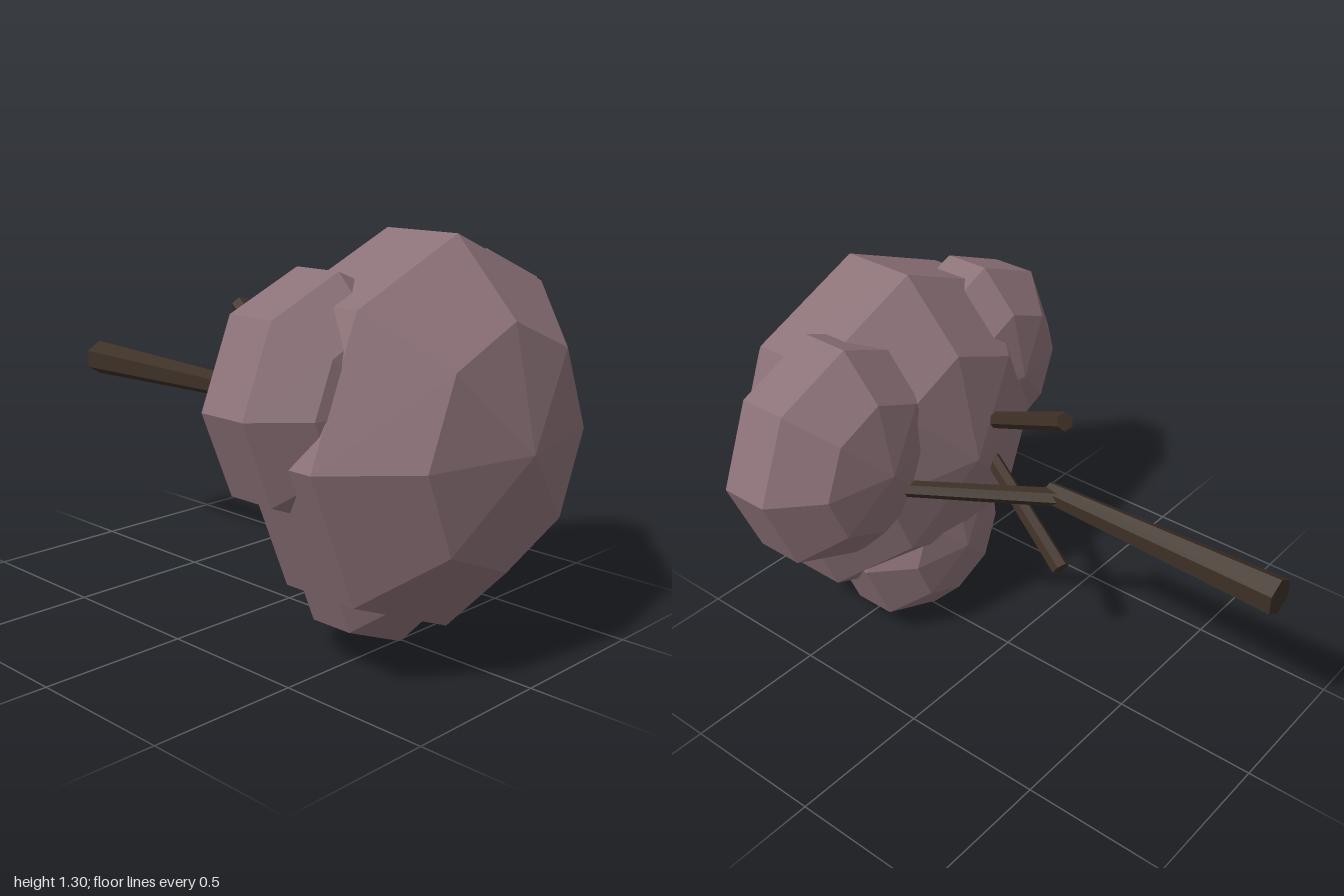
import * as THREE from 'three';

export function createModel() {
  const model = new THREE.Group();
  const leafMat = new THREE.MeshStandardMaterial({ color: 0x8c7278, flatShading: true });
  const woodMat = new THREE.MeshStandardMaterial({ color: 0x3d3026, flatShading: true });

  // Faceted foliage clump, flattened along z with its poles facing front and back
  function clump(name, x, y, z, radius, depth) {
    const geometry = new THREE.SphereGeometry(1, 8, 5);
    geometry.rotateX(Math.PI / 2);
    geometry.scale(radius, radius, depth);
    const mesh = new THREE.Mesh(geometry, leafMat);
    mesh.name = name;
    mesh.position.set(x, y, z);
    model.add(mesh);
  }

  // Tapered six-sided limb between two points
  function limb(name, from, to, r0, r1) {
    const a = new THREE.Vector3(...from);
    const b = new THREE.Vector3(...to);
    const dir = b.clone().sub(a);
    const geometry = new THREE.CylinderGeometry(r1, r0, dir.length(), 6);
    const mesh = new THREE.Mesh(geometry, woodMat);
    mesh.name = name;
    mesh.position.copy(a).add(b).multiplyScalar(0.5);
    mesh.quaternion.setFromUnitVectors(new THREE.Vector3(0, 1, 0), dir.normalize());
    model.add(mesh);
  }

  // Crown
  clump('mainFoliage', -0.03, 0.71, 0.575, 0.623, 0.425);
  clump('leftFoliage', 0.35, 0.83, 0.445, 0.405, 0.27);
  clump('rightFoliage', -0.375, 0.85, 0.49, 0.382, 0.26);
  clump('lowerFoliage', -0.01, 0.34, 0.435, 0.357, 0.243);

  // Trunk lying along z
  limb('trunk', [-0.03, 0.71, -1], [-0.03, 0.71, -0.15], 0.0625, 0.037);

  // Three branches running into the crown
  limb('leftBranch', [-0.03, 0.71, -0.2], [0.32, 0.71, 0.33], 0.031, 0.027);
  for (const [name, s] of [['upperBranch', 1], ['lowerBranch', -1]]) {
    limb(name, [-0.03, 0.71 + s * 0.29, -0.205], [-0.2, 0.71 + s * 0.01, 0.33], 0.031, 0.027);
  }

  return model;
}
